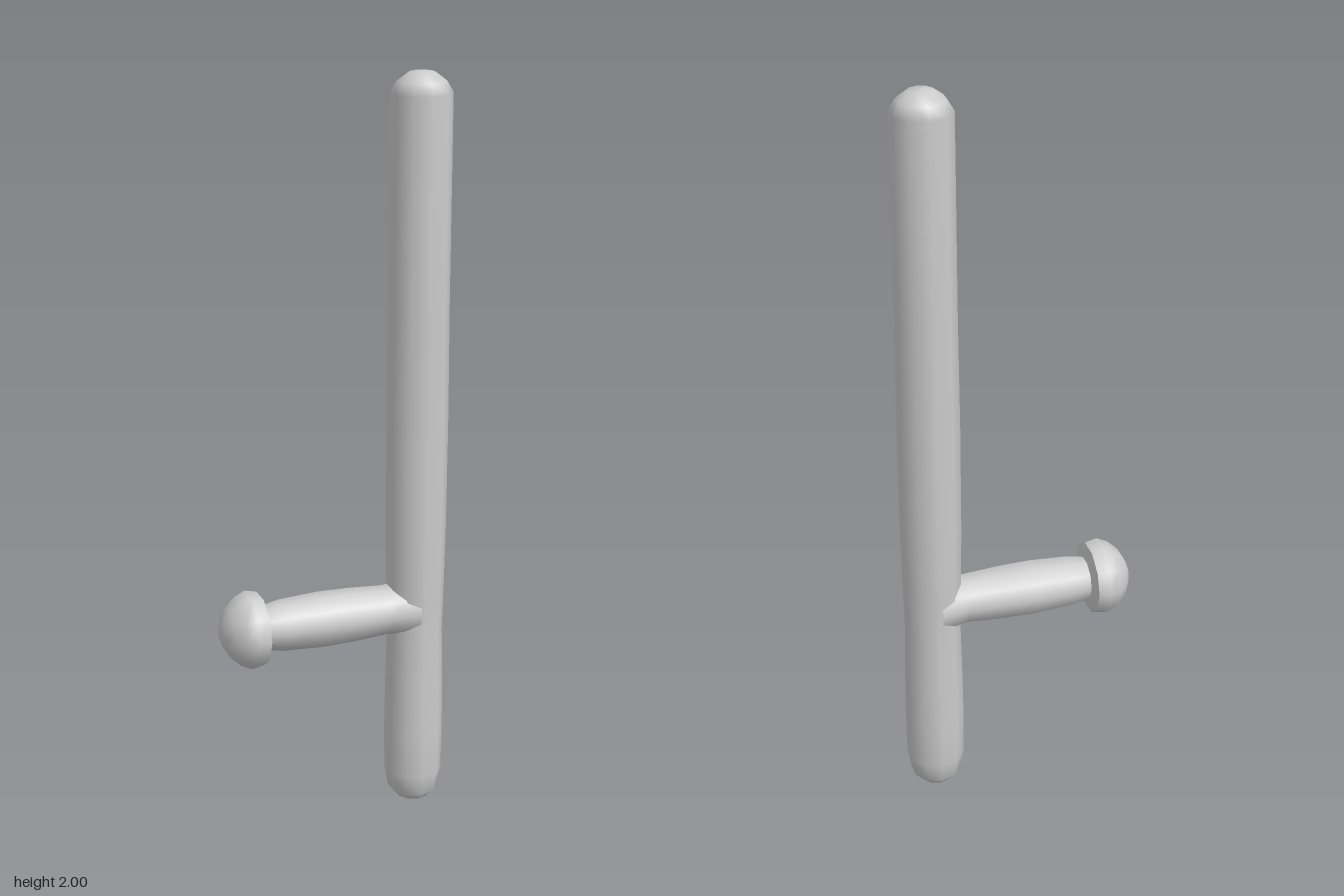
import * as THREE from 'three';

const SIDES = 10;
const material = new THREE.MeshStandardMaterial({ color: 0xcccccc });

// Turned part from [radius, height] pairs, listed upwards along the axis
function turned(name, profile) {
  const points = profile.map(([r, h]) => new THREE.Vector2(r, h));
  const mesh = new THREE.Mesh(new THREE.LatheGeometry(points, SIDES), material);
  mesh.name = name;
  return mesh;
}

export function createModel() {
  const model = new THREE.Group();
  model.name = 'sideHandleBaton';

  // Long shaft with rounded ends and a slight waist below the handle
  const shaft = turned('shaft', [
    [0, 0], [0.045, 0.006], [0.067, 0.03], [0.077, 0.085], [0.079, 0.2],
    [0.077, 0.36], [0.074, 0.5], [0.077, 0.62], [0.08, 0.8], [0.081, 1.1],
    [0.079, 1.4], [0.079, 1.945], [0.062, 1.974], [0.034, 1.995], [0, 2],
  ]);
  shaft.position.x = 0.235;
  model.add(shaft);

  // Side handle, built upwards and then laid over towards -x
  const handle = new THREE.Group();
  handle.name = 'sideHandle';
  handle.rotation.z = Math.PI / 2;
  handle.position.y = 0.567;
  handle.add(
    // Barrel-shaped grip flaring into the shaft
    turned('grip', [
      [0.08, -0.225], [0.073, -0.185], [0.066, -0.15], [0.072, -0.05],
      [0.074, 0.035], [0.068, 0.145], [0.058, 0.195],
    ]),
    // Flat underside of the knob, kept separate for a sharp rim
    turned('knobUnderside', [[0.056, 0.19], [0.097, 0.2]]),
    // Domed knob
    turned('knob', [
      [0.097, 0.2], [0.104, 0.233], [0.091, 0.262], [0.067, 0.288],
      [0.041, 0.302], [0.018, 0.31], [0, 0.311],
    ]),
  );
  model.add(handle);

  return model;
}
